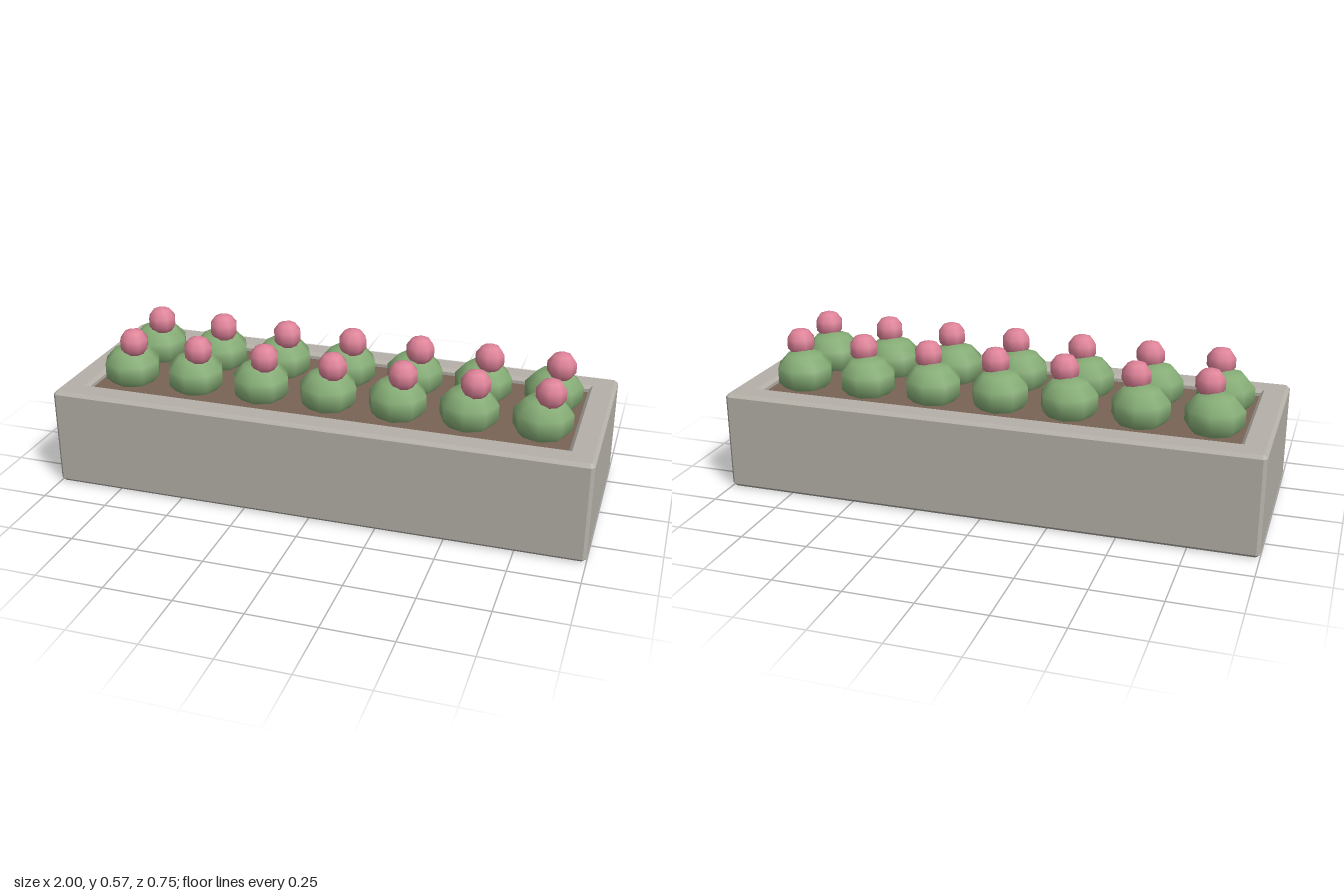
import * as THREE from 'three';

const paint = (name, color) => {
  const m = new THREE.MeshStandardMaterial({ color });
  m.name = name;
  return m;
};

function add(parent, name, geometry, material, x = 0, y = 0, z = 0) {
  const mesh = new THREE.Mesh(geometry, material);
  mesh.name = name;
  mesh.position.set(x, y, z);
  parent.add(mesh);
  return mesh;
}

// Rectangle outline with cut corners
function cutRectangle(path, hx, hz, c) {
  path.moveTo(hx, -hz + c);
  path.lineTo(hx, hz - c);
  path.lineTo(hx - c, hz);
  path.lineTo(-hx + c, hz);
  path.lineTo(-hx, hz - c);
  path.lineTo(-hx, -hz + c);
  path.lineTo(-hx + c, -hz);
  path.lineTo(hx - c, -hz);
  path.closePath();
  return path;
}

export function createModel() {
  const group = new THREE.Group();
  group.name = 'flowerPlanter';
  const concrete = paint('concrete', 0xb5b1a9);
  const earth = paint('earth', 0x7a6455);
  const leaf = paint('leaf', 0x85ac75);
  const petal = paint('petal', 0xde8298);

  // Open trough with chamfered edges
  const height = 0.375, bevel = 0.0125;
  const outline = cutRectangle(new THREE.Shape(), 1 - bevel, 0.375 - bevel, 0.005);
  const hole = new THREE.Path();
  hole.moveTo(-0.9125, -0.2875);
  hole.lineTo(-0.9125, 0.2875);
  hole.lineTo(0.9125, 0.2875);
  hole.lineTo(0.9125, -0.2875);
  hole.closePath();
  outline.holes.push(hole);
  const trough = new THREE.ExtrudeGeometry(outline, {
    depth: height - 2 * bevel,
    bevelEnabled: true,
    bevelSegments: 1,
    bevelSize: bevel,
    bevelThickness: bevel,
  });
  trough.translate(0, 0, bevel);
  trough.rotateX(-Math.PI / 2);
  add(group, 'trough', trough, concrete);

  // Soil filling the trough
  const soilTop = 0.35, soilBottom = 0.0125;
  add(group, 'soil', new THREE.BoxGeometry(1.802, soilTop - soilBottom, 0.552), earth,
    0, (soilTop + soilBottom) / 2, 0);

  // Two rows of seven bushes, each with one blossom set off centre
  const bushGeometry = new THREE.SphereGeometry(0.1125, 8, 5);
  bushGeometry.scale(1, 0.8, 1);
  const blossomGeometry = new THREE.SphereGeometry(0.05625, 8, 5);
  for (const z of [-0.125, 0.125]) {
    for (let i = -3; i <= 3; i++) {
      const plant = new THREE.Group();
      plant.name = 'plant';
      plant.position.set(i * 0.2625, 0, z);
      add(plant, 'bush', bushGeometry, leaf, 0, 0.405, 0);
      add(plant, 'blossom', blossomGeometry, petal, 0.025, 0.514, 0.025);
      group.add(plant);
    }
  }
  return group;
}
